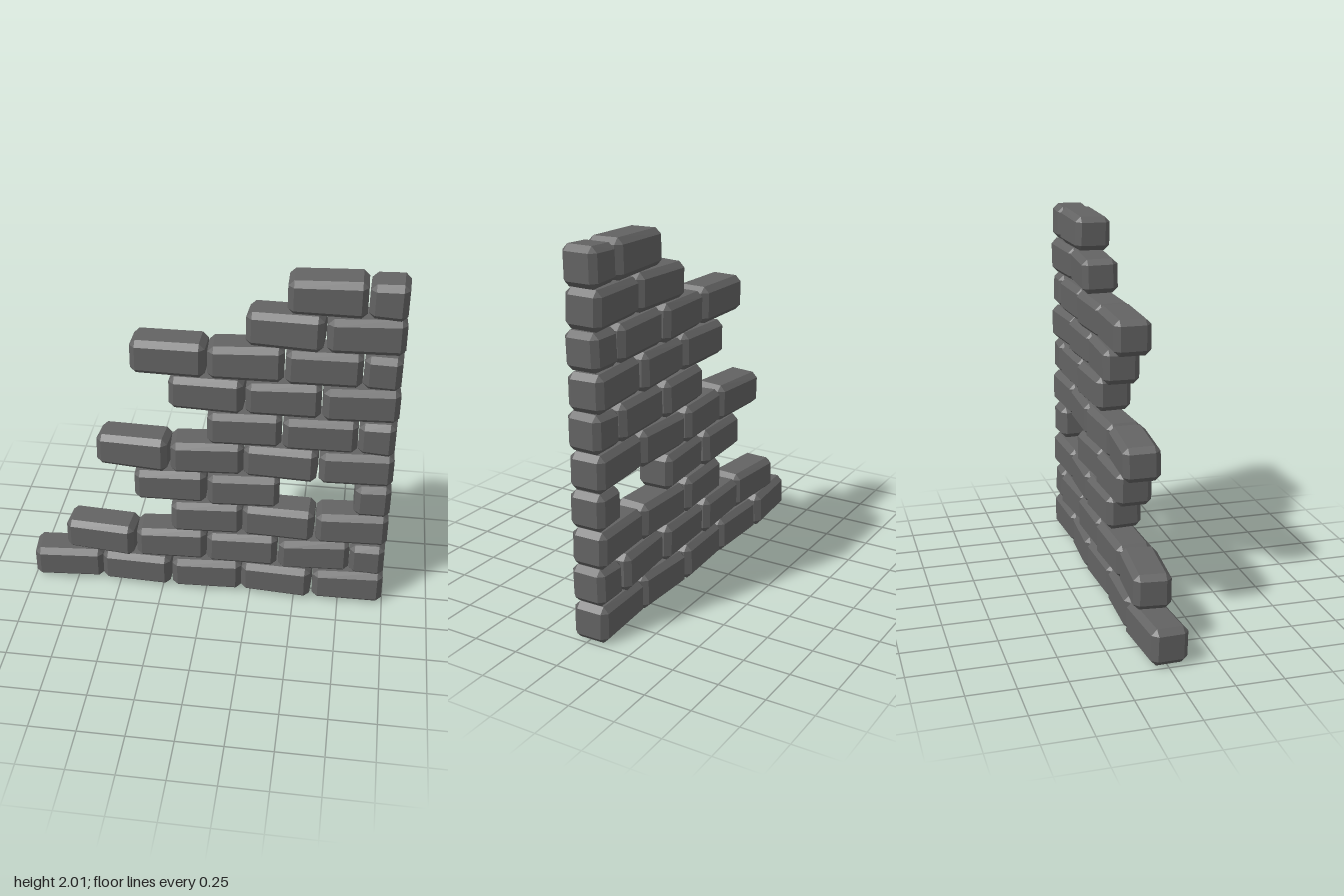
import * as THREE from 'three';
import { ConvexGeometry } from 'three/addons/geometries/ConvexGeometry.js';

const stone = new THREE.MeshStandardMaterial({ color: 0x636363 });
stone.name = 'dark grey stone';

// Courses from the bottom up: [left edge, yaw] per brick; a brick starting at 0.8 is a half
const courses = [
  [[-1, 0.08], [-0.6, -0.03], [-0.2, 0.05], [0.2, -0.05], [0.6, 0.04]],
  [[-0.8, -0.08], [-0.4, 0.05], [0, 0.03], [0.4, 0.08], [0.8, -0.03]],
  [[-0.2, 0.06], [0.2, -0.03], [0.6, 0.05]],
  [[-0.4, 0.04], [0, 0.07], [0.8, 0.04]],
  [[-0.6, -0.07], [-0.2, 0.07], [0.2, -0.03], [0.6, 0.05]],
  [[0, 0.05], [0.4, 0.03], [0.8, -0.05]],
  [[-0.2, -0.03], [0.2, 0.04], [0.6, 0.07]],
  [[-0.4, -0.02], [0, 0.05], [0.4, 0.03], [0.8, -0.04]],
  [[0.2, -0.06], [0.6, 0.06]],
  [[0.4, 0.01], [0.8, -0.03]],
];

// Box with chamfered edges and slightly uneven height
function brickGeometry(width, height, depth, bevel, slope) {
  const half = [width / 2, height / 2, depth / 2];
  const points = [];
  for (const sx of [-1, 1]) for (const sy of [-1, 1]) for (const sz of [-1, 1]) {
    const sign = [sx, sy, sz];
    for (let axis = 0; axis < 3; axis++) {
      const p = half.map((h, i) => sign[i] * (i === axis ? h : h - bevel));
      p[1] *= 1 + slope * p[0] / half[0];
      points.push(new THREE.Vector3(...p));
    }
  }
  return new ConvexGeometry(points);
}

export function createModel() {
  const wall = new THREE.Group();
  wall.name = 'brokenWall';

  // Small repeatable variation
  let seed = 7;
  const vary = (amount) => {
    seed = (seed * 16807) % 2147483647;
    return (seed / 2147483647 * 2 - 1) * amount;
  };

  courses.forEach((bricks, row) => {
    const course = new THREE.Group();
    course.name = `course${row + 1}`;
    course.position.y = row * 0.2 + 0.1;
    for (const [left, yaw] of bricks) {
      const isHalf = left === 0.8;
      const span = isHalf ? 0.2 : 0.4;
      const geometry = brickGeometry(span - 0.008, 0.193, 0.195, 0.03, 0.03 + vary(0.03));
      const brick = new THREE.Mesh(geometry, stone);
      brick.name = isHalf ? 'halfBrick' : 'brick';
      brick.position.set(left + span / 2 - 0.003, 0, -0.003);
      brick.rotation.set(vary(0.03), yaw, vary(0.008));
      course.add(brick);
    }
    wall.add(course);
  });
  return wall;
}
